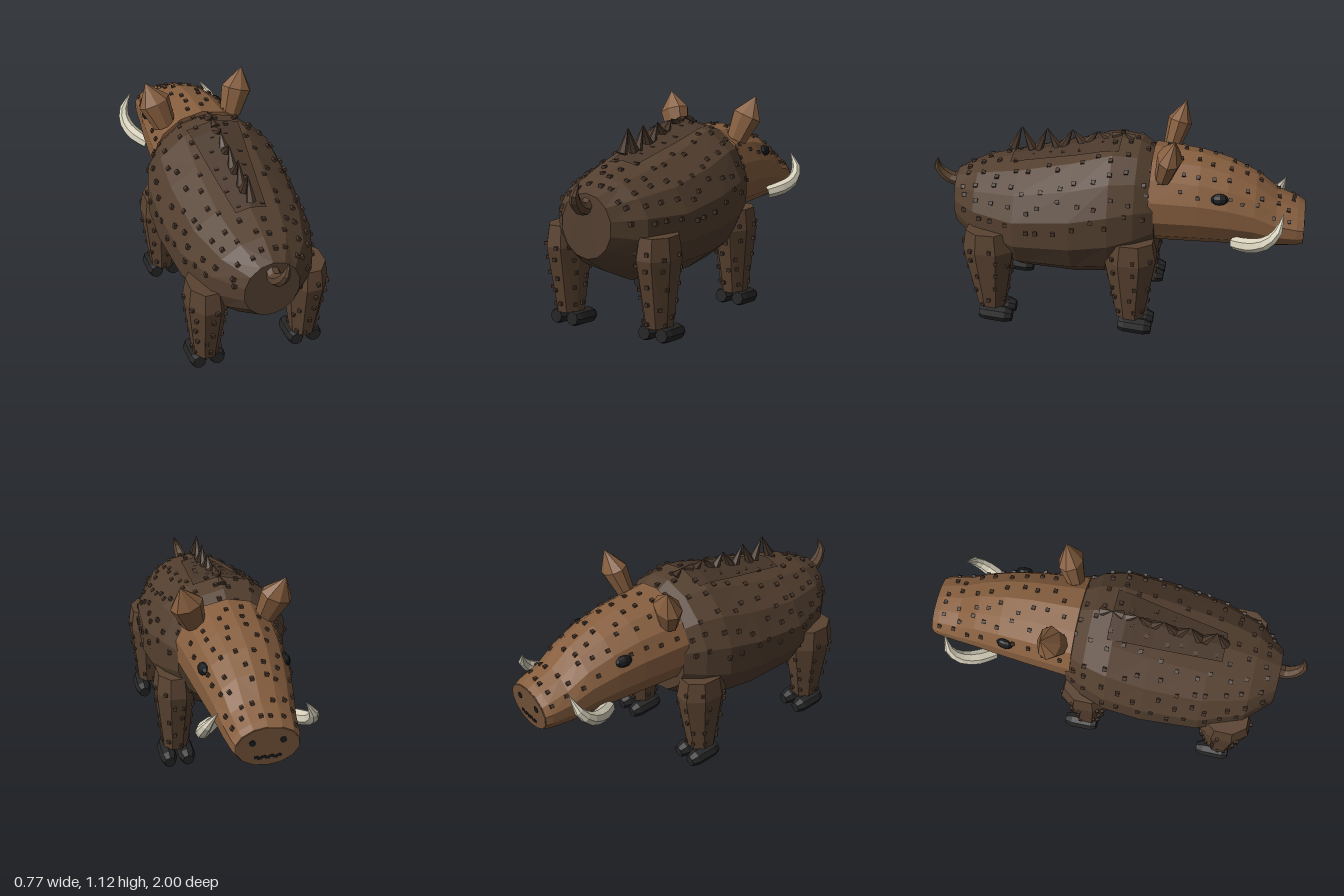
import * as THREE from 'three';
import { mergeGeometries } from 'three/addons/utils/BufferGeometryUtils.js';

const mat = (name, color, side = THREE.FrontSide) => {
  const m = new THREE.MeshStandardMaterial({ color, flatShading: true, side });
  m.name = name;
  return m;
};

// Rings are [z, topY, bottomY, halfWidth], listed with z decreasing.
function section(rings, z) {
  let i = 0;
  while (i < rings.length - 2 && z < rings[i + 1][0]) i++;
  const a = rings[i], b = rings[i + 1], t = (z - a[0]) / (b[0] - a[0]);
  const [, top, bottom, rx] = a.map((v, k) => v + (b[k] - v) * t);
  return { cy: (top + bottom) / 2, ry: (top - bottom) / 2, rx };
}

function loft(rings, sides, phase = 0) {
  const pos = [], idx = [], n = rings.length;
  for (const [z, top, bottom, rx] of rings) {
    for (let j = 0; j < sides; j++) {
      const a = (j + phase) / sides * Math.PI * 2;
      pos.push(Math.sin(a) * rx, (top + bottom) / 2 + Math.cos(a) * (top - bottom) / 2, z);
    }
  }
  for (let i = 0; i < n - 1; i++) {
    for (let j = 0; j < sides; j++) {
      const k = (j + 1) % sides, p = i * sides, q = p + sides;
      idx.push(p + j, p + k, q + j, p + k, q + k, q + j);
    }
  }
  // flat end caps
  const last = (n - 1) * sides;
  for (let j = 1; j < sides - 1; j++) idx.push(0, j + 1, j, last, last + j, last + j + 1);
  const g = new THREE.BufferGeometry();
  g.setAttribute('position', new THREE.Float32BufferAttribute(pos, 3));
  g.setIndex(idx);
  g.computeVertexNormals();
  return g;
}

// Tube along points, with one radius per point
function horn(points, radii, sides) {
  const curve = new THREE.CatmullRomCurve3(points.map(p => new THREE.Vector3(...p)));
  const segs = 8, g = new THREE.TubeGeometry(curve, segs, 1, sides), p = g.attributes.position;
  const v = new THREE.Vector3();
  for (let i = 0; i < p.count; i++) {
    const t = Math.floor(i / (sides + 1)) / segs, f = t * (radii.length - 1);
    const k = Math.min(Math.floor(f), radii.length - 2);
    const r = radii[k] + (radii[k + 1] - radii[k]) * (f - k), c = curve.getPointAt(t);
    v.fromBufferAttribute(p, i).sub(c).multiplyScalar(r).add(c);
    p.setXYZ(i, v.x, v.y, v.z);
  }
  g.computeVertexNormals();
  return g;
}

const UP = new THREE.Vector3(0, 1, 0);
let seed = 7;
const rand = () => (seed = (seed * 16807) % 2147483647) / 2147483647;

// Small blocks scattered in rows over a lofted surface
function bristles(rings, z0, z1, rows, perRow, spread, size) {
  const boxes = [];
  for (let r = 0; r < rows; r++) {
    for (let j = 0; j < perRow; j++) {
      const z = z0 + (z1 - z0) * (r + (rand() - 0.5) * 0.5) / (rows - 1);
      const a = ((j + 0.5 + (rand() - 0.5) * 0.6) / perRow * 2 - 1) * spread;
      const s = section(rings, z);
      const n = new THREE.Vector3(Math.sin(a) / s.rx, Math.cos(a) / s.ry, 0).normalize();
      const g = new THREE.BoxGeometry(size, size * 0.9, size);
      g.applyQuaternion(new THREE.Quaternion().setFromUnitVectors(UP, n));
      g.translate(Math.sin(a) * s.rx * 0.99, s.cy + Math.cos(a) * s.ry * 0.99, z);
      boxes.push(g);
    }
  }
  return mergeGeometries(boxes);
}

const BODY = [
  [0.865, 0.76, 0.436, 0.145], [0.73, 0.82, 0.35, 0.27], [0.5, 0.875, 0.25, 0.355],
  [0.2, 0.95, 0.237, 0.382], [0, 1.01, 0.25, 0.375], [-0.13, 0.995, 0.31, 0.335], [-0.23, 0.93, 0.38, 0.27],
];
const HEAD = [
  [-0.2, 0.97, 0.455, 0.275], [-0.45, 0.945, 0.455, 0.25], [-0.6, 0.905, 0.457, 0.23],
  [-0.74, 0.84, 0.46, 0.205], [-0.85, 0.755, 0.46, 0.185], [-0.96, 0.71, 0.475, 0.17], [-0.992, 0.692, 0.483, 0.16],
];
// Leg rings: z is minus the height, top and bottom are depth
const LEG = [[-0.09, 0.078, -0.078, 0.07], [-0.44, 0.145, -0.145, 0.11], [-0.55, 0.125, -0.125, 0.095]];

export function createModel() {
  const hide = mat('dark brown hide', 0x544030);
  const legHide = mat('leg brown', 0x5a4331);
  const face = mat('light brown hide', 0x875f3f);
  const snoutMat = mat('snout brown', 0x6e4e35);
  const bristleMat = mat('bristle brown', 0x46352a);
  const maneMat = mat('mane brown', 0x4a382b, THREE.DoubleSide);
  const hoofMat = mat('hoof black', 0x242424);
  const ivory = mat('ivory', 0xd6d0bb);
  const black = mat('eye black', 0x17181a);

  const root = new THREE.Group();
  root.name = 'boar';
  const add = (name, geo, material, parent = root) => {
    const m = new THREE.Mesh(geo, material);
    m.name = name;
    parent.add(m);
    return m;
  };

  add('body', loft(BODY, 14), hide);
  add('bodyBristles', bristles(BODY, 0.8, -0.19, 12, 10, 1.6, 0.021), bristleMat);
  add('head', loft(HEAD, 14), face);
  add('headBristles', bristles(HEAD, -0.27, -0.93, 9, 6, 1.25, 0.019), bristleMat);

  // Snout plate, nostrils and mouth
  add('snout', loft([[-0.99, 0.69, 0.485, 0.157], [-0.997, 0.69, 0.485, 0.157]], 14), snoutMat);
  for (const s of [-1, 1]) {
    const nostril = add('nostril', new THREE.CylinderGeometry(0.017, 0.017, 0.006, 8), black);
    nostril.rotation.x = Math.PI / 2;
    nostril.position.set(s * 0.075, 0.615, -0.997);
  }
  for (let i = -3; i <= 3; i++) {
    add('mouth', new THREE.BoxGeometry(0.021, 0.014, 0.006), black)
      .position.set(i * 0.019, 0.531 + (i % 2 ? 0.003 : -0.003), -0.997);
  }

  // Mane strip lying on the back
  const mane = new THREE.PlaneGeometry(2, 1, 2, 8), mp = mane.attributes.position;
  for (let i = 0; i < mp.count; i++) {
    const t = mp.getY(i) + 0.5, z = 0.56 - 0.59 * t, x = mp.getX(i) * (0.08 + 0.06 * t);
    const s = section(BODY, z);
    mp.setXYZ(i, x, s.cy + s.ry - Math.abs(x) / (0.434 * s.rx) * 0.1 * s.ry + 0.012, z);
  }
  mane.computeVertexNormals();
  add('mane', mane, maneMat);

  // Crest of paired spikes meeting at each tip
  for (let i = 0; i < 5; i++) {
    const tipZ = 0.505 - i * 0.135;
    for (const s of [1, -1]) {
      const z = tipZ + s * 0.052, sec = section(BODY, z);
      const base = new THREE.Vector3(0, Math.max(0.905, sec.cy + sec.ry), z);
      const axis = new THREE.Vector3(0, 1.03, tipZ).sub(base);
      const len = axis.length();
      const cone = new THREE.ConeGeometry(0.027, len, 6).translate(0, len / 2, 0);
      const spike = add('crestSpike', cone, maneMat);
      spike.position.copy(base);
      spike.quaternion.setFromUnitVectors(UP, axis.normalize());
    }
  }

  add('tail', horn([[0, 0.72, 0.83], [0, 0.69, 0.89], [0.005, 0.72, 0.945], [0.02, 0.775, 0.98], [0.038, 0.832, 0.966]],
    [0.035, 0.037, 0.032, 0.022, 0.001], 7), legHide);

  for (const s of [1, -1]) {
    // Ears
    const profile = [[0, 0], [0.06, 0], [0.087, 0.145], [0, 0.262]].map(p => new THREE.Vector2(...p));
    const ear = add('ear', new THREE.LatheGeometry(profile, 8).scale(1, 1, 0.75), face);
    ear.position.set(s * 0.185, 0.885, -0.268);
    ear.quaternion.setFromUnitVectors(UP, new THREE.Vector3(s * 0.085, 0.24, -0.066).normalize());

    // Eyes
    const eye = add('eye', new THREE.SphereGeometry(1, 8, 6).scale(0.022, 0.03, 0.045), black);
    eye.position.set(s * 0.21, 0.79, -0.56);
    eye.rotation.set(0, s * 0.12, s * 0.45);

    // Tusks
    add('tusk', horn([[s * 0.18, 0.53, -0.645], [s * 0.235, 0.55, -0.72], [s * 0.268, 0.585, -0.8],
      [s * 0.265, 0.645, -0.86], [s * 0.212, 0.735, -0.888]], [0.036, 0.04, 0.035, 0.024, 0.001], 7), ivory);

    // Legs with split hooves
    for (const [name, z] of [['frontLeg', -0.115], ['hindLeg', 0.645]]) {
      const leg = new THREE.Group();
      leg.name = name;
      leg.position.set(s * 0.268, 0, z);
      root.add(leg);
      add('legColumn', loft(LEG, 8, 0.5), legHide, leg).rotation.x = Math.PI / 2;
      add('legBristles', bristles(LEG, -0.13, -0.46, 5, 7, Math.PI, 0.018), bristleMat, leg).rotation.x = Math.PI / 2;
      for (const x of [-0.05, 0.05]) {
        const hoof = add('hoof', loft([[0.09, 0.035, -0.035, 0.034], [0.06, 0.043, -0.043, 0.046],
          [-0.05, 0.043, -0.043, 0.046], [-0.088, 0.028, -0.034, 0.03]], 8), hoofMat, leg);
        hoof.position.set(x, 0.053, -0.03);
        hoof.rotation.x = -0.09;
      }
    }
  }
  return root;
}
